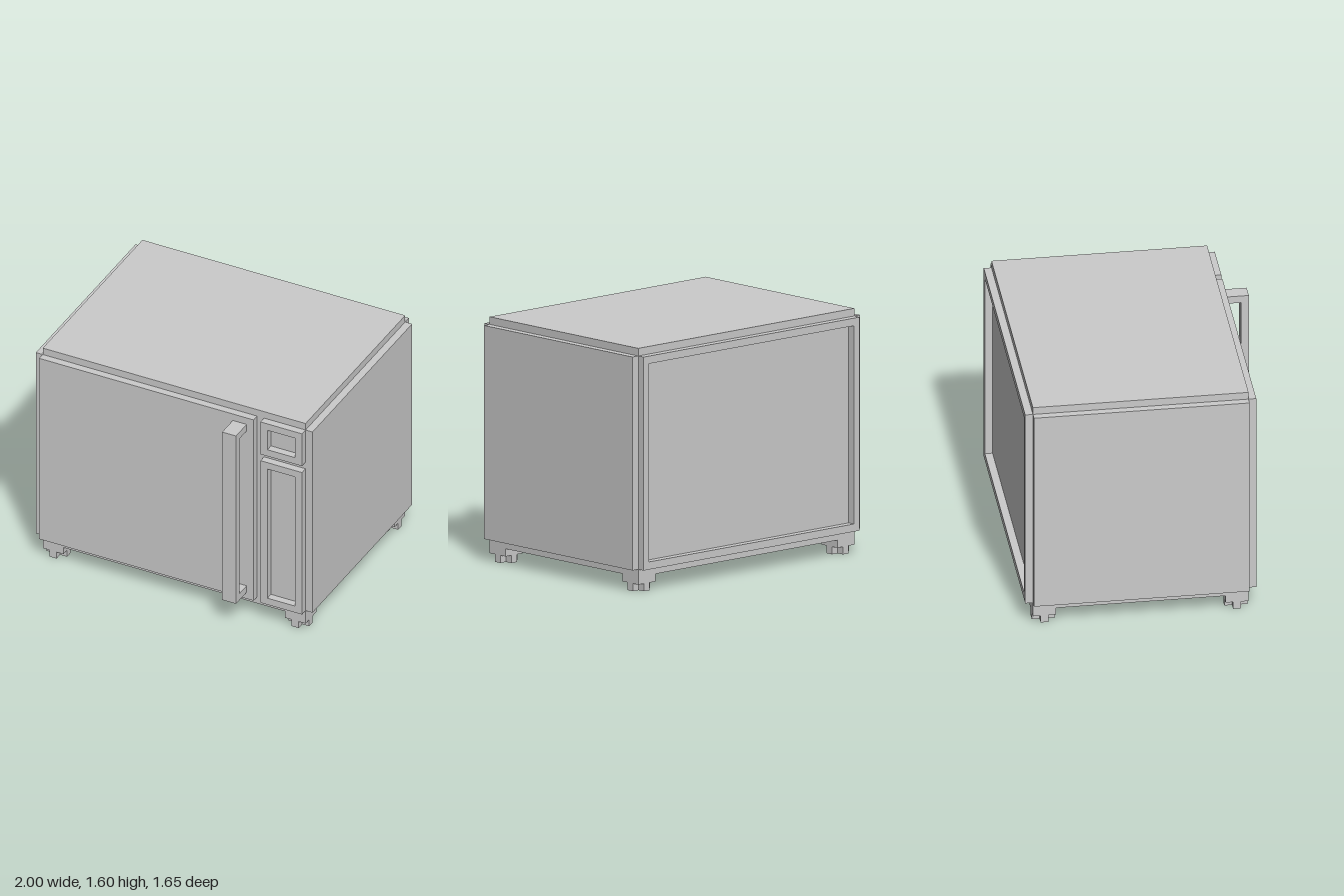
import * as THREE from 'three';

const material = new THREE.MeshStandardMaterial({ color: 0xcccccc, flatShading: true });

function add(parent, name, geometry) {
  const mesh = new THREE.Mesh(geometry, material);
  mesh.name = name;
  parent.add(mesh);
  return mesh;
}

// Box given by its lower and upper corners
function box(parent, name, [x0, y0, z0], [x1, y1, z1]) {
  const geometry = new THREE.BoxGeometry(x1 - x0, y1 - y0, z1 - z0);
  geometry.translate((x0 + x1) / 2, (y0 + y1) / 2, (z0 + z1) / 2);
  return add(parent, name, geometry);
}

// Rectangular frame with an open middle, standing in the xy plane
function frame(parent, name, x0, x1, y0, y1, z, rim = 0.05, depth = 0.05) {
  const rect = (a, b, c, d) =>
    [[a, c], [b, c], [b, d], [a, d]].map(([x, y]) => new THREE.Vector2(x, y));
  const shape = new THREE.Shape(rect(x0, x1, y0, y1));
  shape.holes.push(new THREE.Path(rect(x0 + rim, x1 - rim, y0 + rim, y1 - rim)));
  const geometry = new THREE.ExtrudeGeometry(shape, { depth, bevelEnabled: false });
  geometry.translate(0, 0, z);
  return add(parent, name, geometry);
}

// Foot: square pad on four small blocks around an open centre
function foot(parent, name, cx, cz) {
  const group = new THREE.Group();
  group.name = name;
  box(group, 'footPad', [-0.075, 0.05, -0.075], [0.075, 0.1, 0.075]);
  for (const [x, z] of [[0.05, 0], [-0.05, 0], [0, 0.05], [0, -0.05]]) {
    box(group, 'footBlock', [x - 0.025, 0, z - 0.025], [x + 0.025, 0.05, z + 0.025]);
  }
  group.position.set(cx, 0, cz);
  parent.add(group);
}

export function createModel() {
  const model = new THREE.Group();
  model.name = 'microwaveOven';

  // Casing with raised side panels and rear rim
  box(model, 'casing', [-0.95, 0.1, -0.775], [0.95, 1.6, 0.625]);
  box(model, 'leftPanel', [0.95, 0.15, -0.775], [1, 1.55, 0.625]);
  box(model, 'rightPanel', [-1, 0.15, -0.775], [-0.95, 1.55, 0.625]);
  frame(model, 'rearRim', -0.95, 0.95, 0.15, 1.55, -0.825);

  // Door and control surrounds on the front
  box(model, 'door', [-0.95, 0.15, 0.625], [0.6, 1.55, 0.675]);
  frame(model, 'displayFrame', 0.65, 0.95, 1.3, 1.55, 0.625);
  frame(model, 'controlFrame', 0.65, 0.95, 0.15, 1.25, 0.625);

  // Door handle: C-shaped side profile (z, y) extruded across its width
  const profile = [
    [0.675, 0.2], [0.825, 0.2], [0.825, 1.5], [0.675, 1.5],
    [0.675, 1.45], [0.775, 1.45], [0.775, 0.25], [0.675, 0.25],
  ].map(([z, y]) => new THREE.Vector2(z, y));
  const handle = new THREE.ExtrudeGeometry(new THREE.Shape(profile), { depth: 0.1, bevelEnabled: false });
  handle.rotateY(-Math.PI / 2).translate(0.55, 0, 0);
  add(model, 'doorHandle', handle);

  // Feet under the four corners
  for (const [side, x] of [['Left', 0.875], ['Right', -0.875]]) {
    foot(model, 'front' + side + 'Foot', x, 0.55);
    foot(model, 'back' + side + 'Foot', x, -0.7);
  }

  return model;
}
